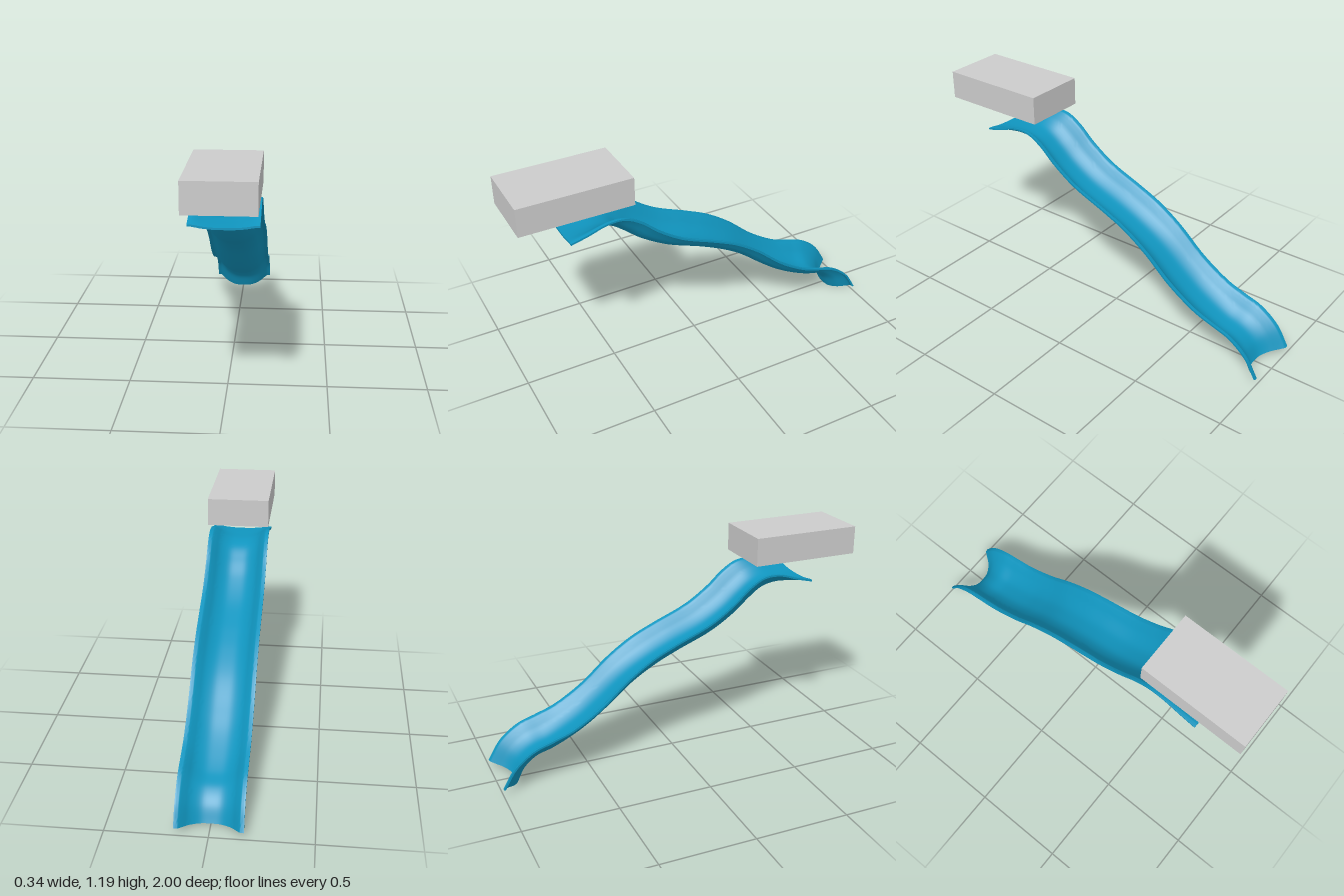
import * as THREE from 'three';
import { toCreasedNormals } from 'three/addons/utils/BufferGeometryUtils.js';

const THICKNESS = 0.01;

// Stations along the chute: [bottom z, bottom y, rim z, rim y]
const STATIONS = [
  [0.75, 0.898, 0.75, 0.922], [0.66, 0.898, 0.66, 0.945], [0.57, 0.895, 0.55, 0.977],
  [0.5, 0.875, 0.46, 0.974], [0.43, 0.825, 0.375, 0.928], [0.34, 0.75, 0.285, 0.85],
  [0.2, 0.665, 0.155, 0.763], [0, 0.585, -0.04, 0.68], [-0.12, 0.53, -0.17, 0.62],
  [-0.25, 0.455, -0.31, 0.527], [-0.4, 0.337, -0.45, 0.407], [-0.5, 0.263, -0.545, 0.342],
  [-0.6, 0.205, -0.635, 0.293], [-0.7, 0.158, -0.73, 0.26], [-0.79, 0.13, -0.83, 0.225],
  [-0.85, 0.08, -0.93, 0.148], [-0.89, 0.003, -0.998, 0.04],
];

// Half of the trough section: [x, share of the depth], ending in a flat lip
const HALF = [[0, 0], [0.05, 0.06], [0.1, 0.38], [0.13, 0.76], [0.15, 0.98], [0.167, 1]];

function chuteGeometry(rings = 120) {
  const spline = (pts) => new THREE.CatmullRomCurve3(pts, false, 'centripetal');
  const bottom = spline(STATIONS.map(([z, y]) => new THREE.Vector3(0, y, z)));
  const rim = spline(STATIONS.map(([, , z, y]) => new THREE.Vector3(0, y, z)));
  const mirrored = HALF.slice(1).reverse().map(([x, v]) => [-x, v]);
  const section = spline([...mirrored, ...HALF].map(([x, v]) => new THREE.Vector3(x, v * 0.1, 0)))
    .getPoints(40);
  const n = section.length;
  const loop = 2 * n;
  const positions = [];
  const index = [];

  for (let i = 0; i <= rings; i++) {
    const low = bottom.getPoint(i / rings);
    const up = rim.getPoint(i / rings).sub(low);
    const depth = up.length() - THICKNESS;
    up.normalize();
    const add = (p, lift) => {
      const q = low.clone().addScaledVector(up, p.y * 10 * depth + lift);
      positions.push(p.x, q.y, q.z);
    };
    // underside one way, sliding surface back
    for (let j = 0; j < n; j++) add(section[j], 0);
    for (let j = n - 1; j >= 0; j--) add(section[j], THICKNESS);
  }

  for (let i = 0; i < rings; i++) {
    for (let j = 0; j < loop; j++) {
      const a = i * loop + j;
      const b = i * loop + (j + 1) % loop;
      index.push(a, a + loop, b, b, a + loop, b + loop);
    }
  }
  // end caps
  const last = rings * loop;
  for (let j = 0; j < n - 1; j++) {
    const [a, b, c, d] = [j, j + 1, loop - 2 - j, loop - 1 - j];
    index.push(a, b, c, a, c, d);
    index.push(last + a, last + c, last + b, last + a, last + d, last + c);
  }

  const geometry = new THREE.BufferGeometry();
  geometry.setAttribute('position', new THREE.Float32BufferAttribute(positions, 3));
  geometry.setIndex(index);
  return toCreasedNormals(geometry, 0.7);
}

export function createModel() {
  const group = new THREE.Group();
  group.name = 'slide';

  const chute = new THREE.Mesh(
    chuteGeometry(),
    new THREE.MeshStandardMaterial({ color: 0x1095bf }),
  );
  chute.name = 'chute';

  // Block floating above the entry
  const block = new THREE.Mesh(
    new THREE.BoxGeometry(0.335, 0.15, 0.59),
    new THREE.MeshStandardMaterial({ color: 0xcccccc }),
  );
  block.name = 'entryBlock';
  block.position.set(0, 1.115, 0.705);

  group.add(chute, block);
  return group;
}
